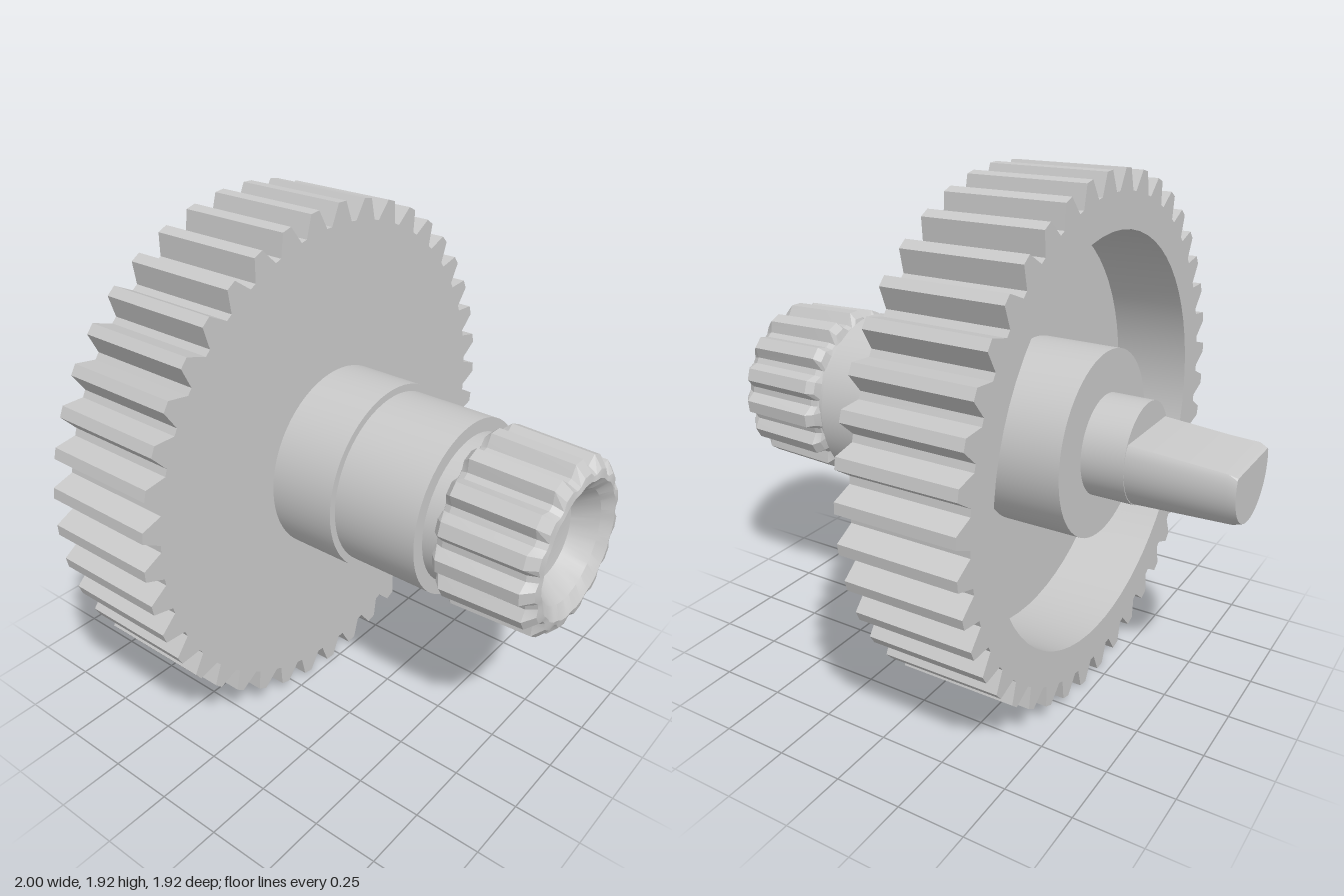
import * as THREE from 'three';
import { toCreasedNormals } from 'three/addons/utils/BufferGeometryUtils.js';

const AXIS_Y = 0.96;
const TAU = Math.PI * 2;

// Skin a series of closed rings along x; section(ring, i) gives [y, z]
function skin(rings, n, section, crease) {
  const pos = [], idx = [];
  rings.forEach((ring, k) => {
    for (let i = 0; i < n; i++) {
      const [y, z] = section(ring, i);
      pos.push(ring.x, y, z);
      if (k === 0) continue;
      const j = (i + 1) % n, a = (k - 1) * n, b = k * n;
      idx.push(a + i, a + j, b + j, a + i, b + j, b + i);
    }
  });
  const g = new THREE.BufferGeometry();
  g.setAttribute('position', new THREE.Float32BufferAttribute(pos, 3));
  g.setIndex(idx);
  g.computeVertexNormals();
  return toCreasedNormals(g, crease);
}

// Toothed rim outline with a round opening
function gearShape(teeth, root, tip, offset, bore) {
  const pts = [], pitch = TAU / teeth;
  for (let i = 0; i < teeth; i++) {
    for (const [f, r] of [[-0.4, root], [-0.14, tip], [0.14, tip], [0.4, root]]) {
      const a = offset + (i + f) * pitch;
      pts.push(new THREE.Vector2(Math.cos(a) * r, Math.sin(a) * r));
    }
  }
  const shape = new THREE.Shape(pts);
  shape.holes.push(new THREE.Path().absarc(0, 0, bore, 0, TAU, true));
  return shape;
}

export function createModel() {
  const model = new THREE.Group();
  const grey = new THREE.MeshStandardMaterial({ color: 0xc8c8c8 });
  grey.name = 'grey';
  const add = (name, geometry) => {
    const mesh = new THREE.Mesh(geometry, grey);
    mesh.name = name;
    mesh.position.y = AXIS_Y;
    model.add(mesh);
  };

  // Large gear rim
  const rim = new THREE.ExtrudeGeometry(
    gearShape(42, 0.883, 0.958, THREE.MathUtils.degToRad(87.6), 0.755),
    { depth: 0.44, bevelEnabled: false, curveSegments: 32 });
  rim.rotateY(Math.PI / 2).translate(-0.46, 0, 0);
  add('gearRim', toCreasedNormals(rim, 0.35));

  // Stub shaft, recessed hub, web and stepped collar turned as one piece
  const profile = [
    [0, -0.62], [0.187, -0.62], [0.187, -0.46], [0.345, -0.46], [0.345, -0.16],
    [0.755, -0.16], [0.755, -0.02], [0.352, -0.02], [0.352, 0.24], [0.325, 0.24],
    [0.325, 0.57], [0.275, 0.57], [0.275, 0.65], [0, 0.65],
  ].map(([r, x]) => new THREE.Vector2(r, x));
  const spindle = new THREE.LatheGeometry(profile, 64).rotateZ(-Math.PI / 2);
  add('hubAndCollar', toCreasedNormals(spindle, 0.5));

  // Tapered drive end with a flat on top and a small end chamfer
  const shaftRings = [
    { x: -1, r: 0, flat: 0 }, { x: -1, r: 0.162, flat: 0.048 },
    { x: -0.97, r: 0.172, flat: 0.06 }, { x: -0.62, r: 0.184, flat: 0.085 },
  ];
  add('flattenedShaft', skin(shaftRings, 48, ({ r, flat }, i) => {
    const a = (i / 48) * TAU;
    return [Math.min(Math.cos(a) * r, flat), Math.sin(a) * r];
  }, 0.4));

  // Small pinion with chamfered teeth and a countersunk end
  const teeth = 15;
  const pinionRings = [
    { x: 0.62, root: 0.265, tip: 0.275 }, { x: 0.63, root: 0.28, tip: 0.305 },
    { x: 0.655, root: 0.288, tip: 0.328 }, { x: 0.96, root: 0.282, tip: 0.318 },
    { x: 0.995, root: 0.262, tip: 0.28 }, { x: 1, root: 0.245, tip: 0.25 },
    { x: 0.97, root: 0.205, tip: 0.205 }, { x: 0.89, root: 0.145, tip: 0.145 },
    { x: 0.87, root: 0, tip: 0 },
  ];
  add('pinion', skin(pinionRings, teeth * 4, ({ root, tip }, i) => {
    const f = [-0.4, -0.18, 0.18, 0.4][i % 4];
    const a = ((Math.floor(i / 4) + f) / teeth) * TAU;
    const r = i % 4 === 1 || i % 4 === 2 ? tip : root;
    return [Math.cos(a) * r, Math.sin(a) * r];
  }, 0.3));

  return model;
}
